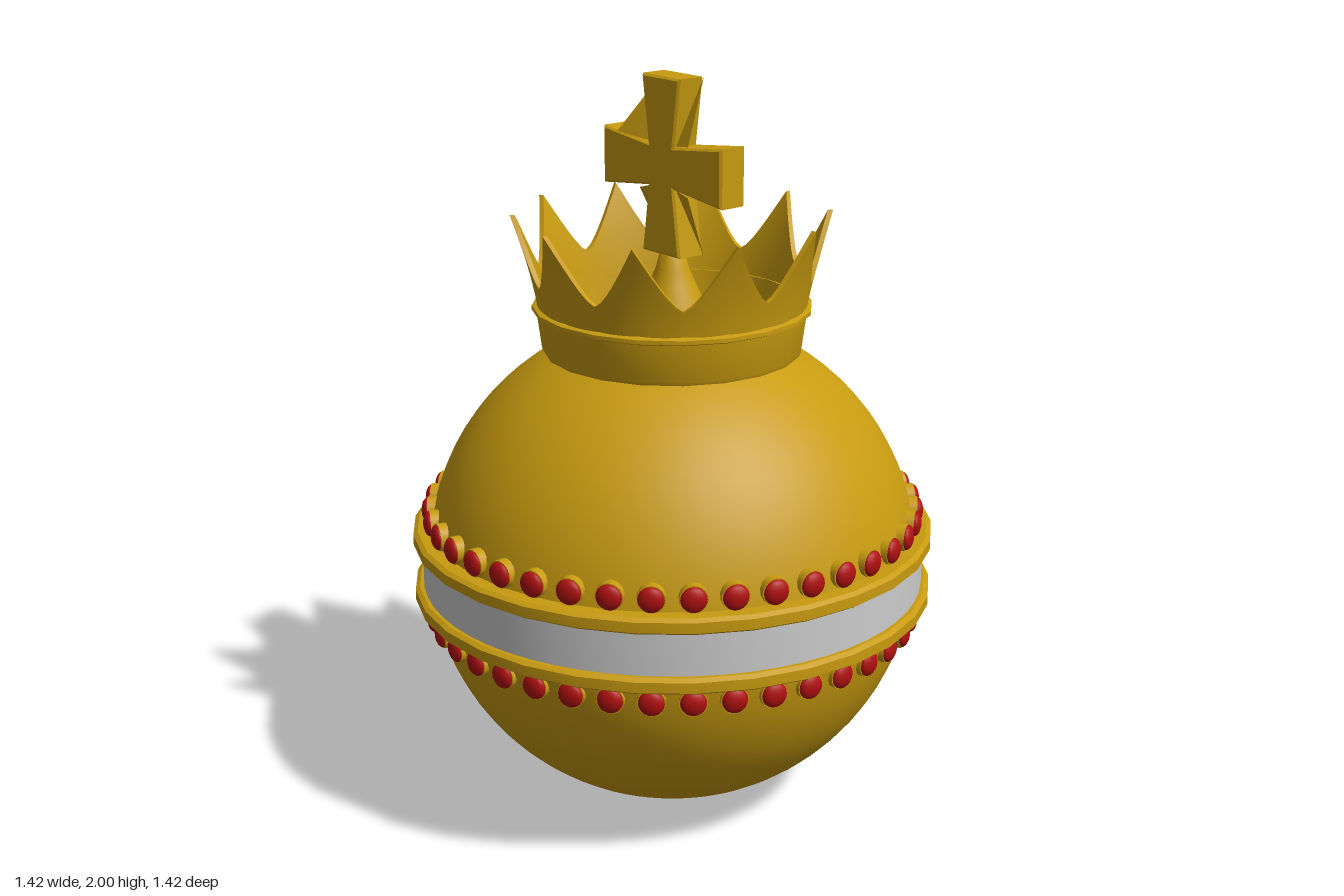
import * as THREE from 'three';
import { toCreasedNormals } from 'three/addons/utils/BufferGeometryUtils.js';

const gold = new THREE.MeshStandardMaterial({ color: 0xc89b10, side: THREE.DoubleSide });
const red = new THREE.MeshStandardMaterial({ color: 0xb01010 });
const grey = new THREE.MeshStandardMaterial({ color: 0xcccccc });

function add(parent, name, geometry, material) {
  const mesh = new THREE.Mesh(geometry, material);
  mesh.name = name;
  parent.add(mesh);
  return mesh;
}

// Lathe with sharp profile edges; the first vertex lies on the x axis
function turned(points, sides) {
  const g = new THREE.LatheGeometry(points.map(p => new THREE.Vector2(...p)), sides);
  g.rotateY(Math.PI / 2);
  return toCreasedNormals(g, 0.5);
}

// Flaring crown wall whose upper edge is cut into ten concave points
function crownPoints() {
  const base = 1.39, valley = 1.47, tip = 1.64, rows = 6;
  const profile = [];
  for (let i = 0; i <= rows; i++) profile.push(new THREE.Vector2(1, i / rows));
  for (let i = rows; i >= 0; i--) profile.push(new THREE.Vector2(0.5, i / rows));
  const g = new THREE.LatheGeometry(profile, 120);
  const p = g.attributes.position;
  for (let i = 0; i < p.count; i++) {
    const x = p.getX(i), z = p.getZ(i);
    const angle = Math.atan2(x, z), inner = Math.hypot(x, z) < 0.75;
    const phase = angle / (Math.PI / 5);
    const k = 1 - 2 * Math.abs(phase - Math.round(phase));
    const top = valley + (tip - valley) * Math.pow(k, 1.45);
    const y = base + (top - base) * p.getY(i);
    const s = (y - base) / (tip - base);
    const r = 0.358 + 0.04 * s + 0.028 * s * s - (inner ? 0.014 : 0);
    p.setXYZ(i, r * Math.sin(angle), y, r * Math.cos(angle));
  }
  return toCreasedNormals(g, 0.6);
}

// Cross with arms that widen toward their ends
function crossGeometry() {
  const cy = 1.767, b = 0.006;
  const quarter = [[0.05, 0.055], [0.075, 0.233]];
  const side = [[0.235, 0.077], [0.055, 0.055]];
  const outline = [
    [side[0][0], -side[0][1]], side[0], quarter[0], quarter[1],
    [-quarter[1][0], quarter[1][1]], [-quarter[0][0], quarter[0][1]],
    [-side[0][0], side[0][1]], [-side[0][0], -side[0][1]],
    [-quarter[0][0], -quarter[0][1]], [-quarter[1][0], -quarter[1][1]],
    [quarter[1][0], -quarter[1][1]], [quarter[0][0], -quarter[0][1]],
  ];
  const shape = new THREE.Shape(outline.map(([x, y]) => new THREE.Vector2(x, y + cy)));
  const g = new THREE.ExtrudeGeometry(shape, {
    depth: 0.084 - 2 * b, bevelEnabled: true, bevelSegments: 1,
    bevelSize: b, bevelThickness: b, bevelOffset: -b,
  });
  g.translate(0, 0, -0.042 + b);
  return g;
}

// Thin slanting webs between the upright and the cross arms
function webGeometry() {
  const corners = [
    -0.078, 2.0, -0.042, -0.178, 1.835, 0.04, -0.05, 1.825, 0.03,
    0.075, 2.0, -0.042, 0.05, 1.825, 0.03, 0.108, 1.832, 0.04,
    0.075, 1.535, -0.042, 0.108, 1.70, 0.04, 0.05, 1.71, 0.03,
    -0.075, 1.535, -0.042, -0.05, 1.71, 0.03, -0.085, 1.70, 0.04,
  ];
  const g = new THREE.BufferGeometry();
  g.setAttribute('position', new THREE.Float32BufferAttribute(corners, 3));
  g.computeVertexNormals();
  return g;
}

export function createModel() {
  const model = new THREE.Group();
  model.name = 'crownedOrb';

  const orb = add(model, 'orb', new THREE.SphereGeometry(0.672, 64, 40), gold);
  orb.position.y = 0.675;

  // Belt: grey band between two gold hoops
  add(model, 'band', turned([[0.65, 0.62], [0.688, 0.62], [0.688, 0.755], [0.65, 0.755]], 60), grey);
  for (const [name, y] of [['lowerHoop', 0.606], ['upperHoop', 0.767]]) {
    add(model, name, turned([
      [0.64, y - 0.022], [0.7, y - 0.022], [0.712, y - 0.014],
      [0.712, y + 0.014], [0.7, y + 0.022], [0.64, y + 0.022],
    ], 30), gold);
  }

  // Two rows of gems in round settings
  const gem = new THREE.SphereGeometry(0.034, 14, 10).scale(1, 1, 0.5);
  const setting = new THREE.CylinderGeometry(0.037, 0.037, 0.04, 14).rotateX(Math.PI / 2);
  const count = 40;
  for (const [row, y] of [['lowerGems', 0.545], ['upperGems', 0.825]]) {
    const ring = new THREE.Group();
    ring.name = row;
    model.add(ring);
    for (let i = 0; i < count; i++) {
      const holder = new THREE.Group();
      holder.name = 'gemHolder';
      holder.rotation.y = (i / count) * Math.PI * 2;
      holder.position.y = y;
      add(holder, 'setting', setting, gold).position.z = 0.65;
      add(holder, 'gem', gem, red).position.z = 0.67;
      ring.add(holder);
    }
  }

  // Crown
  const crown = new THREE.Group();
  crown.name = 'crown';
  model.add(crown);
  add(crown, 'crownBand', turned([
    [0.32, 1.27], [0.345, 1.27], [0.349, 1.28], [0.362, 1.38],
    [0.374, 1.385], [0.374, 1.396], [0.36, 1.402], [0.344, 1.402], [0.32, 1.27],
  ], 20), gold);
  add(crown, 'crownPoints', crownPoints(), gold);

  // Finial and cross
  add(model, 'finial', turned([
    [0.105, 1.31], [0.103, 1.35], [0.085, 1.40], [0.062, 1.45],
    [0.045, 1.49], [0.034, 1.53], [0.02, 1.545], [0, 1.55],
  ], 24), gold);
  add(model, 'cross', crossGeometry(), gold);
  add(model, 'crossWebs', webGeometry(), gold);

  return model;
}
